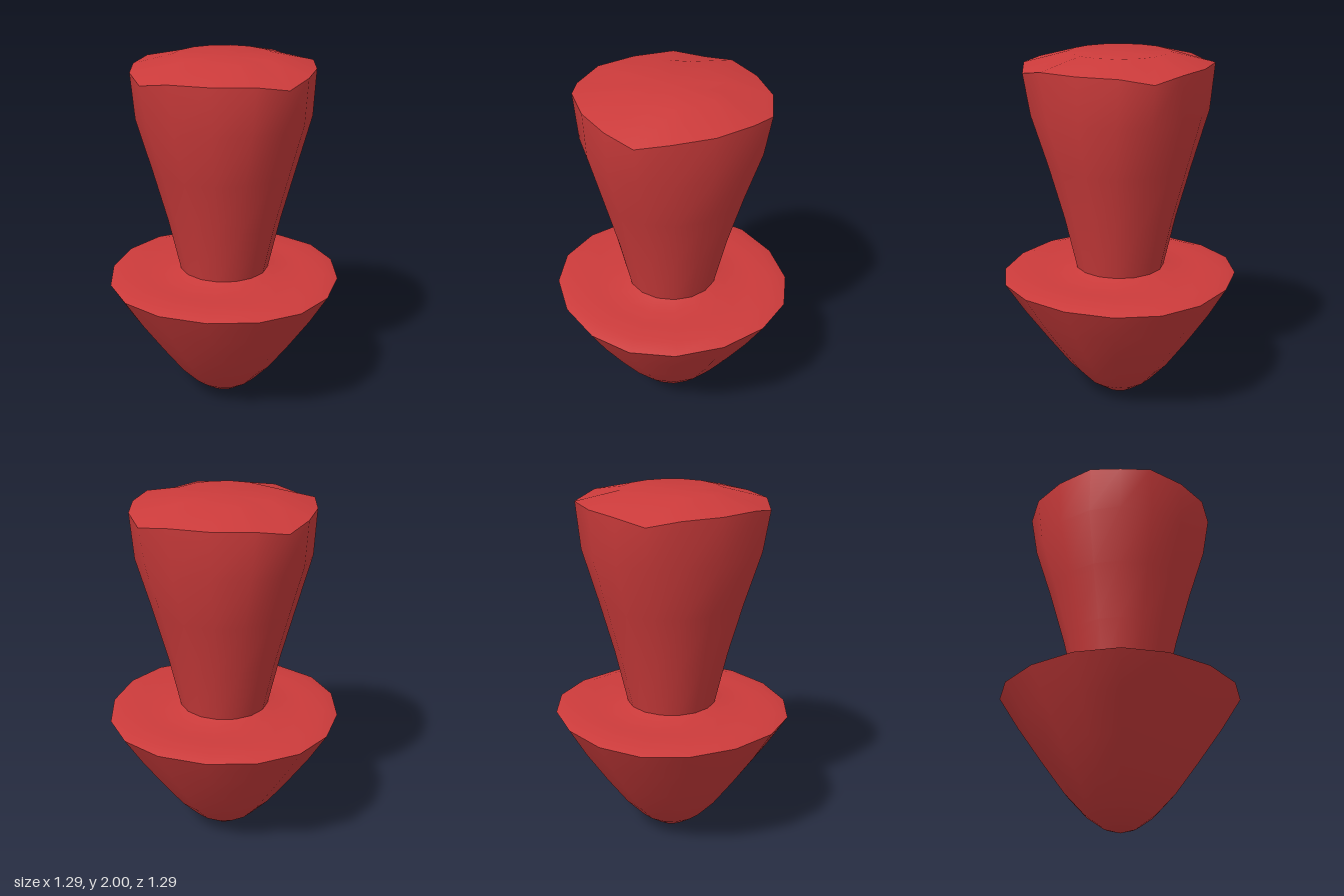
import * as THREE from 'three';
import { mergeVertices } from 'three/addons/utils/BufferGeometryUtils.js';

const SIDES = 16;

// Skins a stack of rings { y, r, k, dip }: r is the radius on the axes,
// k the bulge towards the diagonals (1 = round), dip the drop at the diagonals.
function loft(rings) {
  const positions = [];
  const index = [];
  for (const { y, r, k = 1, dip = 0 } of rings) {
    for (let i = 0; i < SIDES; i++) {
      const step = i % 4; // 0 axis, 1 and 3 between, 2 diagonal
      const bulge = step === 0 ? 1 : step === 2 ? k : 1 + (k - 1) * 0.5;
      const shift = step === 1 ? 1 : step === 3 ? -1 : 0;
      const a = (i / SIDES) * Math.PI * 2 + shift * 0.66 * (k - 1);
      positions.push(r * bulge * Math.sin(a), y - (step === 2 ? dip : 0), r * bulge * Math.cos(a));
    }
  }
  for (let j = 0; j < rings.length - 1; j++) {
    for (let i = 0; i < SIDES; i++) {
      const n = (i + 1) % SIDES;
      const a = j * SIDES + i, b = j * SIDES + n;
      const c = b + SIDES, d = a + SIDES;
      if (rings[j].r > 0) index.push(a, b, c);
      if (rings[j + 1].r > 0) index.push(a, c, d);
      else if (rings[j].r === 0) index.push(a, c, d);
    }
  }
  const geometry = new THREE.BufferGeometry();
  geometry.setAttribute('position', new THREE.Float32BufferAttribute(positions, 3));
  geometry.setIndex(index);
  const merged = mergeVertices(geometry, 1e-5); // one vertex at each pole
  merged.computeVertexNormals();
  return merged;
}

export function createModel() {
  const group = new THREE.Group();
  const red = new THREE.MeshStandardMaterial({ color: 0xcc3b3b });
  red.name = 'red';

  const add = (name, rings) => {
    const mesh = new THREE.Mesh(loft(rings), red);
    mesh.name = name;
    group.add(mesh);
  };

  // Rims shared by neighbouring parts, where the surface has a sharp edge
  const rim = { y: 0.752, r: 0.645, k: 1.031 };
  const neck = { y: 0.803, r: 0.25 };
  const topRim = { y: 1.942, r: 0.489, k: 1.085, dip: 0.03 };

  // Rounded pointed head
  add('pointedHead', [
    { y: 0, r: 0 },
    { y: 0.03, r: 0.093 },
    { y: 0.1, r: 0.19 },
    { y: 0.215, r: 0.295, k: 1.005 },
    { y: 0.39, r: 0.42, k: 1.01 },
    { y: 0.58, r: 0.546, k: 1.02 },
    rim,
  ]);

  // Shallow shoulder running in from the head's rim to the shaft
  add('headShoulder', [
    rim,
    { y: 0.775, r: 0.57, k: 1.02 },
    { y: 0.777, r: 0.45, k: 1.01 },
    { y: 0.78, r: 0.34 },
    neck,
  ]);

  // Flaring shaft, round at the neck and squarer at the top
  add('shaft', [
    neck,
    { y: 1.1, r: 0.317, k: 1.005 },
    { y: 1.4, r: 0.397, k: 1.015 },
    { y: 1.69, r: 0.475, k: 1.04 },
    topRim,
  ]);

  // Low domed end cap
  add('endCap', [
    topRim,
    { y: 2, r: 0.27 },
    { y: 2, r: 0 },
  ]);

  return group;
}
